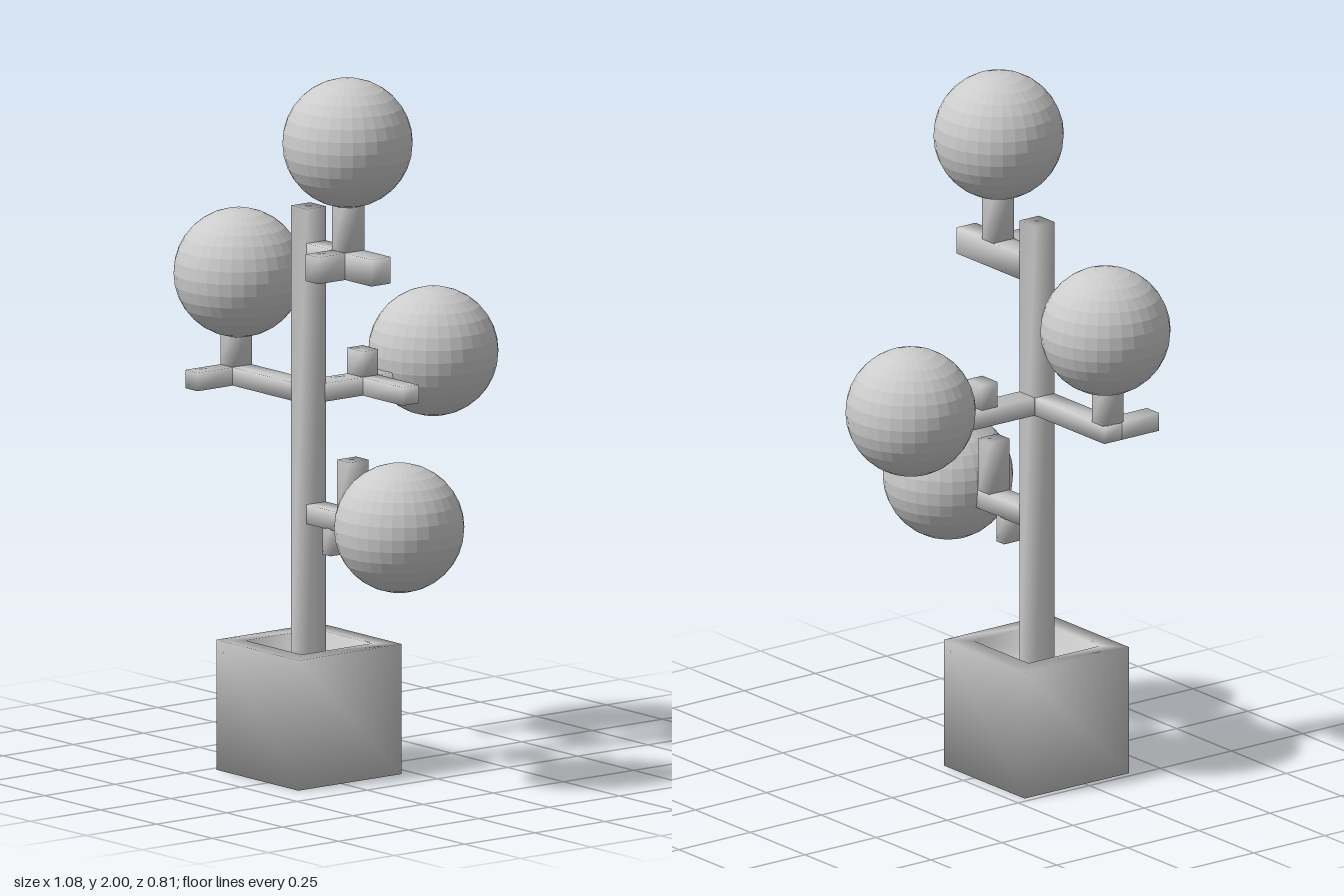
import * as THREE from 'three';
import { mergeVertices } from 'three/addons/utils/BufferGeometryUtils.js';

const smooth = new THREE.MeshStandardMaterial({ color: 0xcccccc });
const faceted = new THREE.MeshStandardMaterial({ color: 0xcccccc, flatShading: true });

// Box from [min, max] ranges, with normals averaged over its shared corners
function beam(name, [x0, x1], [y0, y1], [z0, z1]) {
  let geo = new THREE.BoxGeometry(x1 - x0, y1 - y0, z1 - z0);
  geo.deleteAttribute('normal');
  geo.deleteAttribute('uv');
  geo = mergeVertices(geo);
  geo.computeVertexNormals();
  geo.translate((x0 + x1) / 2, (y0 + y1) / 2, (z0 + z1) / 2);
  const mesh = new THREE.Mesh(geo, smooth);
  mesh.name = name;
  return mesh;
}

function foliageBall(x, y, z) {
  const mesh = new THREE.Mesh(new THREE.SphereGeometry(0.182, 32, 16), faceted);
  mesh.name = 'foliageBall';
  mesh.position.set(x, y, z);
  return mesh;
}

function limb(name, ...parts) {
  const group = new THREE.Group();
  group.name = name;
  group.add(...parts);
  return group;
}

export function createModel() {
  const model = new THREE.Group();
  model.name = 'pottedTree';

  // Square pot with a recessed top: a four-sided lathe
  const outer = 0.1835 * Math.SQRT2, inner = 0.125 * Math.SQRT2;
  const profile = [[0, 0], [outer, 0], [outer, 0.37], [inner, 0.37], [inner, 0.28], [0, 0.28]]
    .map(([r, y]) => new THREE.Vector2(r, y));
  const pot = new THREE.Mesh(new THREE.LatheGeometry(profile, 4).rotateY(Math.PI / 4), smooth);
  pot.name = 'pot';
  pot.position.set(-0.047, 0, 0.221);

  const wide = [0.187, 0.255];
  model.add(pot, beam('trunk', [-0.084, -0.014], [0.27, 1.61], wide));

  // Each limb: branch, short twigs and a ball of foliage
  model.add(
    limb('topLimb',
      beam('branch', [-0.016, 0.275], [1.437, 1.513], wide),
      beam('frontTwig', [0.1, 0.158], [1.437, 1.513], [0.25, 0.35]),
      beam('stem', [0.1, 0.158], [1.51, 1.67], wide),
      foliageBall(0.126, 1.818, 0.221)),
    limb('rightLimb',
      beam('branch', [-0.4, -0.082], [1.055, 1.107], wide),
      beam('frontTwig', [-0.4, -0.345], [1.055, 1.107], [0.25, 0.38]),
      beam('stem', [-0.4, -0.345], [1.105, 1.23], wide),
      foliageBall(-0.361, 1.371, 0.221)),
    limb('backLimb',
      beam('branch', [-0.082, -0.012], [1.055, 1.107], [-0.1, 0.19]),
      beam('sideTwig', [-0.015, 0.167], [1.055, 1.107], [0, 0.057]),
      beam('stem', [-0.082, -0.012], [1.105, 1.18], [0.002, 0.057]),
      foliageBall(-0.047, 1.141, -0.222)),
    limb('leftLimb',
      beam('branch', [-0.016, 0.2], [0.715, 0.77], wide),
      beam('upperTwig', [0.121, 0.176], [0.768, 0.92], wide),
      beam('lowerTwig', [0.057, 0.092], [0.64, 0.718], wide),
      foliageBall(0.357, 0.76, 0.221)));

  return model;
}
